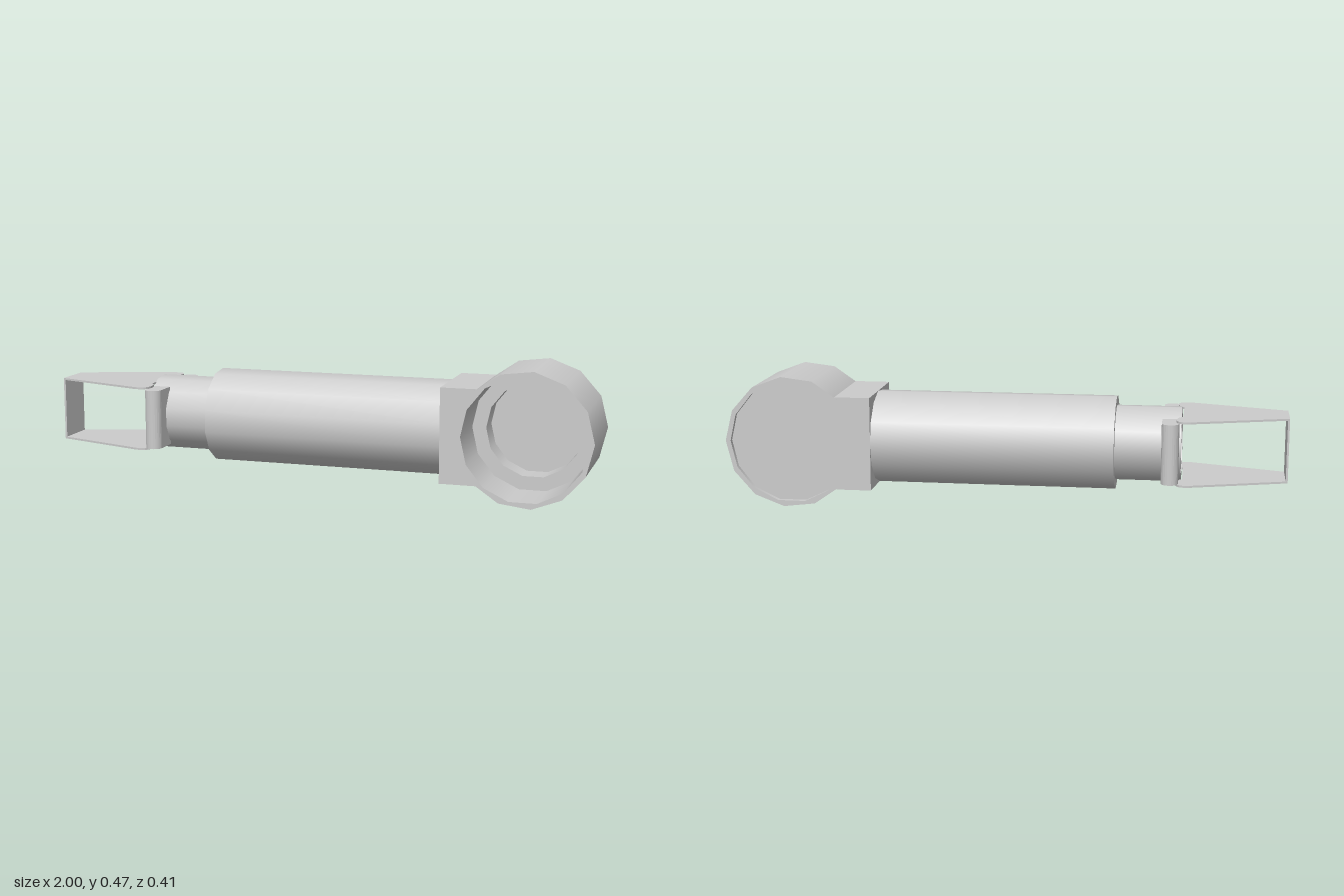
import * as THREE from 'three';

const mat = new THREE.MeshStandardMaterial({ color: 0xcccccc, side: THREE.DoubleSide });

function add(parent, name, geometry) {
  const mesh = new THREE.Mesh(geometry, mat);
  mesh.name = name;
  parent.add(mesh);
  return mesh;
}

// Corners of a regular polygon, the first one at angle a0
function corners(n, r, a0 = 0) {
  return Array.from({ length: n }, (_, i) => {
    const a = a0 + (i / n) * Math.PI * 2;
    return new THREE.Vector2(r * Math.cos(a), r * Math.sin(a));
  });
}

// Open wall around the local z axis
function wall(n, r, z0, z1, a0 = 0) {
  const g = new THREE.CylinderGeometry(r, r, z1 - z0, n, 1, true, Math.PI / 2 + a0);
  return g.rotateX(Math.PI / 2).translate(0, 0, (z0 + z1) / 2);
}

// Flat disc or ring across the local z axis
function plate(outer, z, inner, back = false) {
  const shape = new THREE.Shape(outer);
  if (inner) shape.holes.push(new THREE.Path(inner));
  const g = new THREE.ShapeGeometry(shape);
  if (back) g.rotateX(Math.PI);
  return g.translate(0, 0, z);
}

// Shape drawn in x and z, extruded upwards from y0
function slab(shape, y0, height) {
  const g = new THREE.ExtrudeGeometry(shape, { depth: height, bevelEnabled: false, curveSegments: 6 });
  return g.rotateX(-Math.PI / 2).translate(0, y0, 0);
}

export function createModel() {
  const model = new THREE.Group();
  const midY = 0.24;

  // Round cup, open to the front, with a stepped seat inside
  const cup = new THREE.Group();
  cup.name = 'cup';
  cup.position.set(0.762, midY, 0);
  model.add(cup);
  const rim = corners(13, 0.238), bore = corners(14, 0.22), seat = corners(14, 0.17);
  add(cup, 'cupOuterWall', wall(13, 0.238, -0.168, 0.168));
  add(cup, 'cupFrontRim', plate(rim, 0.168, bore));
  add(cup, 'cupBore', wall(14, 0.22, -0.03, 0.168));
  add(cup, 'cupStep', plate(bore, -0.03, seat));
  add(cup, 'cupSeatWall', wall(14, 0.17, -0.12, -0.03));
  add(cup, 'cupFloor', plate(seat, -0.12));
  add(cup, 'cupBackRim', plate(rim, -0.168, bore, true));
  add(cup, 'cupBackRecess', wall(14, 0.22, -0.168, -0.15));
  add(cup, 'cupBackDisc', plate(bore, -0.15, null, true));

  // Block joining cup and barrel, cut to the side of the cup
  const block = new THREE.Shape([
    new THREE.Vector2(-0.292, -0.168), new THREE.Vector2(-0.165, -0.168),
    ...rim.slice(5, 9).reverse(),
    new THREE.Vector2(-0.165, 0.168), new THREE.Vector2(-0.292, 0.168),
  ]);
  const blockGeo = new THREE.ExtrudeGeometry(block, { depth: 0.336, bevelEnabled: false });
  add(cup, 'joiningBlock', blockGeo.translate(0, 0, -0.168));

  // Barrel and hollow nose, built along local z which points to -x
  const barrel = new THREE.Group();
  barrel.name = 'barrel';
  barrel.position.y = midY;
  barrel.rotation.y = -Math.PI / 2;
  model.add(barrel);
  const body = corners(13, 0.169, Math.PI), nose = corners(13, 0.135, Math.PI);
  const hollow = corners(13, 0.112, Math.PI);
  add(barrel, 'barrelWall', wall(13, 0.169, -0.47, 0.395, Math.PI));
  add(barrel, 'barrelShoulder', plate(body, 0.395, nose));
  add(barrel, 'noseWall', wall(13, 0.135, 0.395, 0.627, Math.PI));
  add(barrel, 'noseRim', plate(nose, 0.627, hollow));
  add(barrel, 'noseBore', wall(13, 0.112, 0.42, 0.627, Math.PI));
  add(barrel, 'noseBoreFloor', plate(hollow, 0.42));

  // Knuckles on both sides of the nose, rounded at the outer end
  const knuckle = new THREE.Shape();
  knuckle.moveTo(-0.62, 0.092);
  knuckle.lineTo(-0.56, 0.092);
  knuckle.lineTo(-0.56, 0.173);
  knuckle.absarc(-0.59, 0.173, 0.03, 0, Math.PI);
  knuckle.closePath();
  for (const side of [1, -1]) {
    const mesh = add(model, side > 0 ? 'frontKnuckle' : 'backKnuckle', slab(knuckle, -0.1065, 0.213));
    mesh.position.y = midY;
    mesh.rotation.x = side > 0 ? Math.PI : 0;
  }

  // Bail: two tapered plates with rounded corners and an end strip
  const bail = new THREE.Shape();
  bail.moveTo(-1, -0.073);
  bail.lineTo(-0.66, -0.184);
  bail.quadraticCurveTo(-0.615, -0.194, -0.61, -0.155);
  bail.quadraticCurveTo(-0.61, -0.1, -0.632, -0.09);
  bail.lineTo(-0.632, 0.09);
  bail.quadraticCurveTo(-0.61, 0.1, -0.61, 0.155);
  bail.quadraticCurveTo(-0.615, 0.194, -0.66, 0.184);
  bail.lineTo(-1, 0.073);
  bail.closePath();
  add(model, 'bailTopPlate', slab(bail, 0.348, 0.007));
  add(model, 'bailBottomPlate', slab(bail, 0.124, 0.007));
  add(model, 'bailEndStrip', new THREE.BoxGeometry(0.007, 0.231, 0.146).translate(-0.9965, 0.2395, 0));

  return model;
}
